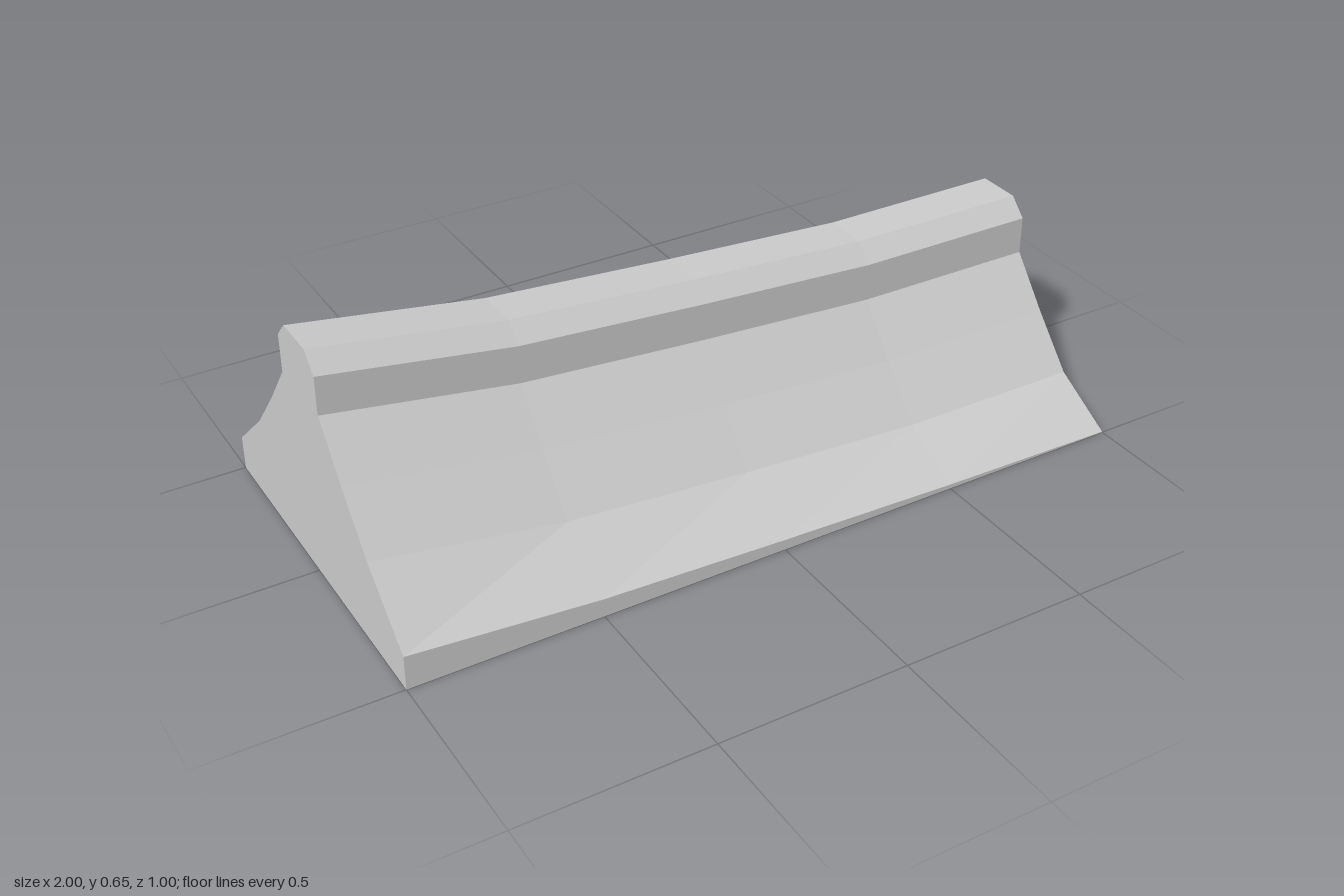
import * as THREE from 'three';

// Stations along the length: x, ridge height, height of the outer vertical edge
const STATIONS = [
  [-1, 0.651, 0.093],
  [-0.5, 0.574, 0.05],
  [0, 0.537, 0.029],
  [0.5, 0.506, 0.012],
  [1, 0.506, 0.002],
];

// Symmetric cross-section: front half from the ground up to the ridge, then mirrored
function crossSection([x, top, edge]) {
  const half = [
    [0.5, 0],
    [0.5, edge],
    [0.33, top - 0.41],
    [0.213, top - 0.279],
    [0.107, top - 0.149],
    [0.107, top - 0.047],
    [0.06, top],
  ];
  const back = half.map(([z, y]) => [-z, y]).reverse();
  return [...half, ...back].map(([z, y]) => [x, y, z]);
}

function barrierGeometry() {
  const rings = STATIONS.map(crossSection);
  const n = rings[0].length;
  const last = rings.length - 1;
  const positions = [];
  const quad = (a, b, c, d) => positions.push(...a, ...b, ...c, ...a, ...c, ...d);

  // Skin between neighbouring stations, underside included
  for (let i = 0; i < last; i++) {
    for (let j = 0; j < n; j++) {
      const k = (j + 1) % n;
      quad(rings[i][j], rings[i + 1][j], rings[i + 1][k], rings[i][k]);
    }
  }
  // End faces as stacked slabs between the front and back profile
  for (let j = 0; j < n / 2 - 1; j++) {
    const [r, l] = [rings[last], rings[0]];
    quad(r[j], r[n - 1 - j], r[n - 2 - j], r[j + 1]);
    quad(l[j], l[j + 1], l[n - 2 - j], l[n - 1 - j]);
  }

  const geometry = new THREE.BufferGeometry();
  geometry.setAttribute('position', new THREE.Float32BufferAttribute(positions, 3));
  geometry.computeVertexNormals();
  return geometry;
}

export function createModel() {
  const group = new THREE.Group();
  group.name = 'slopedBarrier';
  const material = new THREE.MeshStandardMaterial({ color: 0xcccccc, flatShading: true });
  const body = new THREE.Mesh(barrierGeometry(), material);
  body.name = 'barrierBody';
  group.add(body);
  return group;
}
